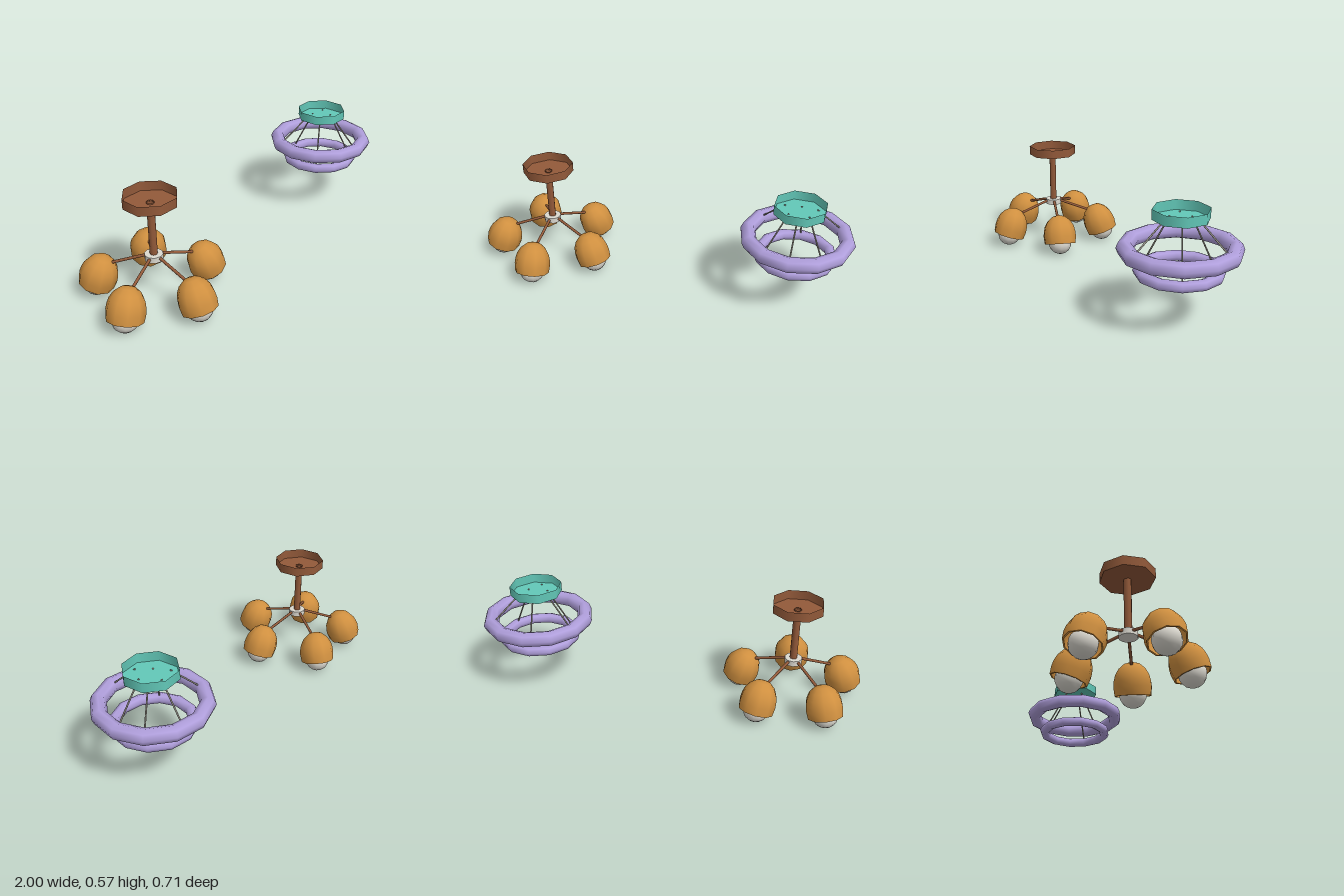
import * as THREE from 'three';
import { toCreasedNormals } from 'three/addons/utils/BufferGeometryUtils.js';

const mat = (name, color, side = THREE.FrontSide) => {
  const m = new THREE.MeshStandardMaterial({ color, side });
  m.name = name;
  return m;
};

export function createModel() {
  const brown = mat('brown wood', 0x935a3a, THREE.DoubleSide);
  const amber = mat('amber shade', 0xd09040, THREE.DoubleSide);
  const white = mat('warm white', 0xdcd9d0);
  const teal = mat('teal', 0x62c8b8, THREE.DoubleSide);
  const lilac = mat('lilac', 0xb09fdc);
  const grey = mat('grey wire', 0x9a968c);

  const add = (parent, name, geometry, material, x = 0, y = 0, z = 0) => {
    const mesh = new THREE.Mesh(geometry, material);
    mesh.name = name;
    mesh.position.set(x, y, z);
    parent.add(mesh);
    return mesh;
  };

  // Straight round bar between two points
  const bar = (parent, name, a, b, radius, material) => {
    const dir = b.clone().sub(a);
    const mesh = add(parent, name, new THREE.CylinderGeometry(radius, radius, dir.length(), 8), material);
    mesh.position.copy(a).add(b).multiplyScalar(0.5);
    mesh.quaternion.setFromUnitVectors(new THREE.Vector3(0, 1, 0), dir.normalize());
  };

  // Eight-sided ceiling plate, a tray open at the top
  const canopy = (parent, material, hole) => {
    const r = 0.133;
    add(parent, 'canopyWall', new THREE.CylinderGeometry(r, r, 0.049, 8, 1, true, Math.PI / 8), material, 0, 0.5435);
    const floor = new THREE.RingGeometry(hole, r, 8, 1, Math.PI / 8).rotateX(-Math.PI / 2);
    add(parent, 'canopyFloor', floor, material, 0, 0.519);
  };

  const model = new THREE.Group();
  model.name = 'ceilingLamps';

  // Five-armed lamp
  const armLamp = new THREE.Group();
  armLamp.name = 'armLamp';
  armLamp.position.set(-0.64, 0, -0.026);
  model.add(armLamp);
  canopy(armLamp, brown, 0.017);
  add(armLamp, 'stem', new THREE.CylinderGeometry(0.019, 0.019, 0.282, 8, 1, true), brown, 0, 0.384);
  add(armLamp, 'hub', toCreasedNormals(new THREE.CylinderGeometry(0.046, 0.046, 0.03, 10), 1), white, 0, 0.23);

  // Shade profile: up the outside to the crown, back down the inside
  const outer = [[0.09, 0], [0.095, 0.043], [0.092, 0.073], [0.085, 0.1], [0.067, 0.131], [0.037, 0.156], [0, 0.165]];
  const inner = outer.map(([r, y]) => [r * 0.92, y * 0.95]).reverse();
  const profile = [...outer, ...inner, outer[0]].map(([r, y]) => new THREE.Vector2(r, y));
  const shadeGeometry = toCreasedNormals(new THREE.LatheGeometry(profile, 10), 1);
  const bulbGeometry = new THREE.SphereGeometry(0.066, 12, 10);

  for (let i = 0; i < 5; i++) {
    const arm = new THREE.Group();
    arm.name = 'arm' + (i + 1);
    arm.rotation.y = i * Math.PI * 2 / 5;
    armLamp.add(arm);
    bar(arm, 'armBar', new THREE.Vector3(0, 0.238, 0.03), new THREE.Vector3(0, 0.178, 0.225), 0.0075, brown);
    const shade = add(arm, 'shade', shadeGeometry, amber, 0, 0.06, 0.296);
    shade.rotation.x = -0.34;
    add(arm, 'bulb', bulbGeometry, white, 0, 0.066, 0.293);
  }

  // Two-ring lamp
  const ringLamp = new THREE.Group();
  ringLamp.name = 'ringLamp';
  ringLamp.position.set(0.711, 0, -0.026);
  model.add(ringLamp);
  canopy(ringLamp, teal, 0);

  const rings = [
    { name: 'largeRing', radius: 0.25, tube: 0.039, y: 0.378, top: 0.092, turn: 0 },
    { name: 'smallRing', radius: 0.185, tube: 0.0275, y: 0.273, top: 0.057, turn: Math.PI / 3 },
  ];
  for (const { name, radius, tube, y, top, turn } of rings) {
    add(ringLamp, name, new THREE.TorusGeometry(radius, tube, 8, 12).rotateX(Math.PI / 2), lilac, 0, y);
    // Three wires hold each ring
    for (let i = 0; i < 3; i++) {
      const a = turn + i * Math.PI * 2 / 3;
      const at = (r, h) => new THREE.Vector3(Math.sin(a) * r, h, Math.cos(a) * r);
      bar(ringLamp, name + 'Wire', at(top, 0.523), at(radius, y), 0.004, grey);
    }
  }
  return model;
}
